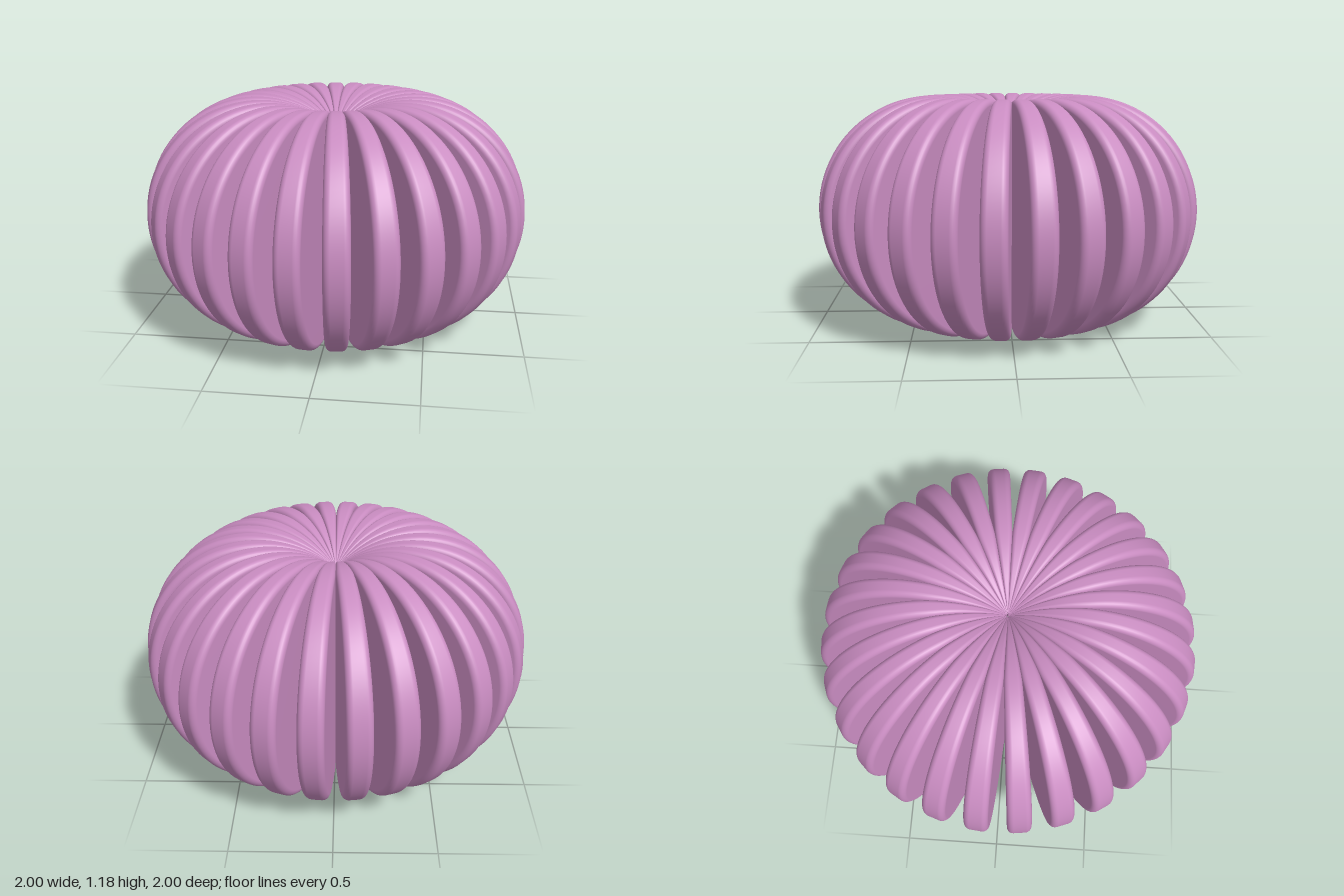
import * as THREE from 'three';

const RIBS = 28, STEP = (Math.PI * 2) / RIBS;
const RING = 0.412, TUBE = 0.591, MID_Y = 0.591; // circular side profile
const CORE = 0.36;                               // radius where grooves bottom out
const STATIONS = 72, ARC = 6;

// One rib facing +z: a rounded band swept from the top dimple to the bottom one,
// with side walls running in to the core.
function ribGeometry() {
  const pos = [], index = [];
  const vMax = Math.acos((0.008 - RING) / TUBE);
  const cols = 2 * (ARC + 1) + 2;
  for (let i = 0; i <= STATIONS; i++) {
    const v = vMax * (1 - (2 * i) / STATIONS);
    const nr = Math.cos(v), ny = Math.sin(v);
    const r = RING + TUBE * nr, y = MID_Y + TUBE * ny;
    const halfAt = (d) => Math.min(0.031 + 0.0315 * d, d * STEP * 0.51);
    const half = halfAt(r), corner = Math.min(0.032, half * 0.6);
    const rIn = Math.min(r, CORE), yIn = MID_Y + (y - MID_Y) * 0.9;
    const row = [[-halfAt(rIn), yIn, rIn]];
    for (const side of [-1, 1]) {
      for (let k = 0; k <= ARC; k++) {
        const a = ((side < 0 ? k : ARC - k) / ARC) * Math.PI / 2;
        const depth = corner * (1 - Math.sin(a));
        const x = side * (half - corner + corner * Math.cos(a));
        row.push([x, y - ny * depth, r - nr * depth]);
      }
    }
    row.push([halfAt(rIn), yIn, rIn]);
    row.forEach((p) => pos.push(...p));
  }
  for (let i = 0; i < STATIONS; i++) {
    for (let j = 0; j < cols - 1; j++) {
      const a = i * cols + j, b = a + cols;
      index.push(a, b, a + 1, b, b + 1, a + 1);
    }
  }
  const geo = new THREE.BufferGeometry();
  geo.setAttribute('position', new THREE.Float32BufferAttribute(pos, 3));
  geo.setIndex(index);
  geo.computeVertexNormals();
  return geo;
}

export function createModel() {
  const group = new THREE.Group();
  group.name = 'ribbedPouf';
  const mauve = new THREE.MeshStandardMaterial({ color: 0xc98cc1 });
  mauve.name = 'mauve';

  // Ribs spaced evenly round the vertical axis
  const geo = ribGeometry();
  for (let k = 0; k < RIBS; k++) {
    const rib = new THREE.Mesh(geo, mauve);
    rib.name = `rib${k + 1}`;
    rib.rotation.y = (k + 0.5) * STEP + 0.012;
    group.add(rib);
  }
  return group;
}
